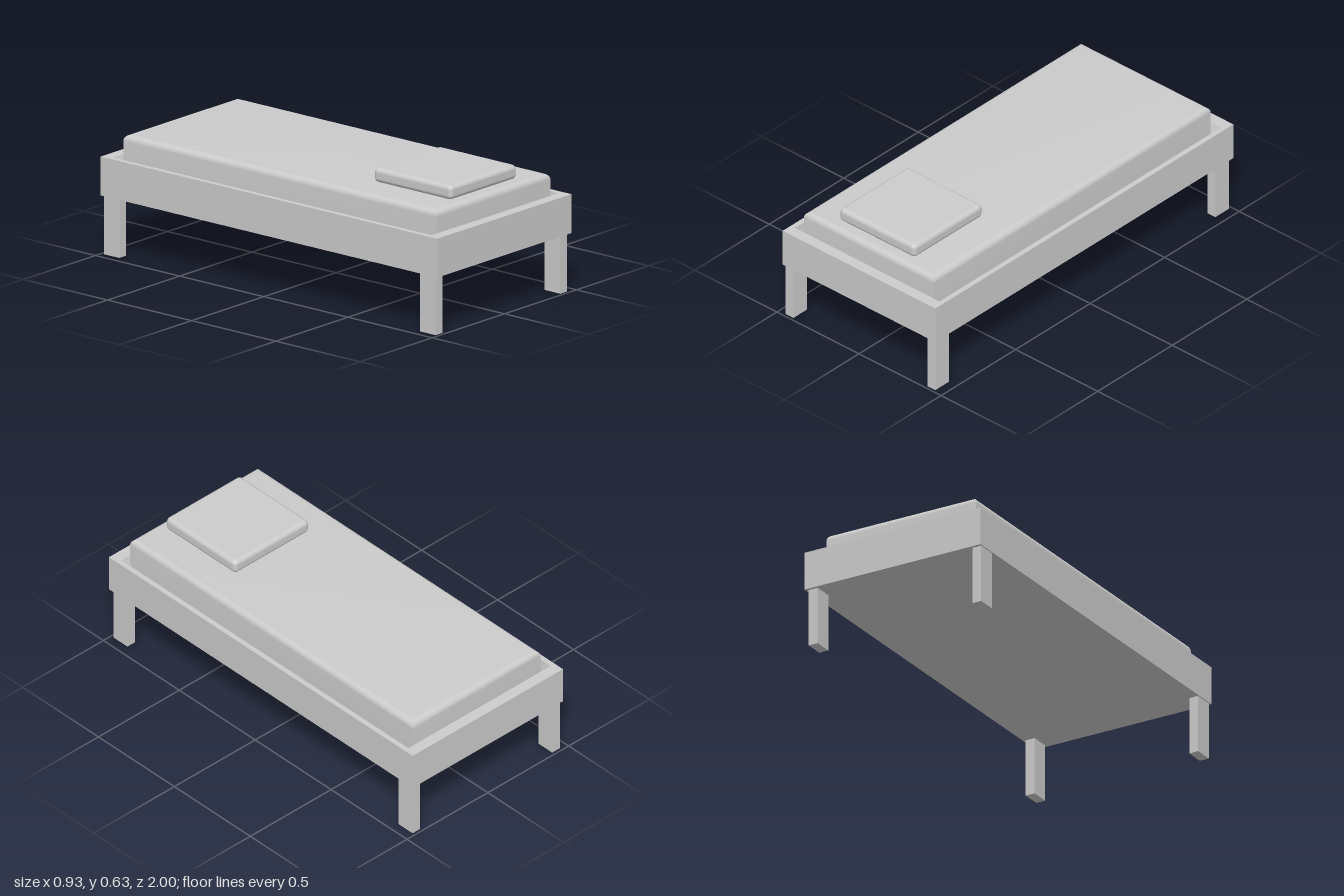
import * as THREE from 'three';
import { toCreasedNormals } from 'three/addons/utils/BufferGeometryUtils.js';
import { RoundedBoxGeometry } from 'three/addons/geometries/RoundedBoxGeometry.js';

const material = new THREE.MeshStandardMaterial({ color: 0xcccccc });

function addMesh(parent, name, geometry, x = 0, y = 0, z = 0) {
  const mesh = new THREE.Mesh(geometry, material);
  mesh.name = name;
  mesh.position.set(x, y, z);
  parent.add(mesh);
}

// Skin through rectangular rings [halfX, y, halfZ], capped at both ends
function rectangleLoft(rings) {
  const positions = [];
  const index = [];
  for (const [x, y, z] of rings) {
    positions.push(x, y, z, x, y, -z, -x, y, -z, -x, y, z);
  }
  for (let r = 0; r < rings.length - 1; r++) {
    for (let i = 0; i < 4; i++) {
      const a = r * 4 + i;
      const b = r * 4 + (i + 1) % 4;
      index.push(a, b, b + 4, a, b + 4, a + 4);
    }
  }
  const t = (rings.length - 1) * 4;
  index.push(0, 2, 1, 0, 3, 2, t, t + 1, t + 2, t, t + 2, t + 3);
  const geometry = new THREE.BufferGeometry();
  geometry.setAttribute('position', new THREE.Float32BufferAttribute(positions, 3));
  geometry.setIndex(index);
  return toCreasedNormals(geometry, Math.PI / 6);
}

export function createModel() {
  const bed = new THREE.Group();
  bed.name = 'bed';

  // Tray-shaped frame with sloping inner walls
  addMesh(bed, 'frame', rectangleLoft([
    [0.465, 0.275, 1],
    [0.465, 0.458, 1],
    [0.44, 0.458, 0.945],
    [0.413, 0.3, 0.89],
  ]));

  // Mattress with rounded top edges and mitred corners
  const radius = 0.03;
  const rings = [[0.395, 0.295, 0.93]];
  const steps = 8;
  for (let i = 0; i <= steps; i++) {
    const angle = (i / steps) * Math.PI / 2;
    const inset = radius * (1 - Math.cos(angle));
    rings.push([0.395 - inset, 0.56 - radius * (1 - Math.sin(angle)), 0.93 - inset]);
  }
  addMesh(bed, 'mattress', rectangleLoft(rings), 0, 0, 0.005);

  // Pillow
  addMesh(bed, 'pillow', new RoundedBoxGeometry(0.462, 0.068, 0.462, 5, 0.022), -0.001, 0.594, 0.65);

  // Four rectangular legs
  for (const x of [-0.436, 0.428]) {
    for (const z of [-0.939, 0.939]) {
      const name = (z > 0 ? 'front' : 'back') + (x > 0 ? 'Left' : 'Right') + 'Leg';
      addMesh(bed, name, new THREE.BoxGeometry(0.047, 0.28, 0.092), x, 0.14, z);
    }
  }
  return bed;
}
